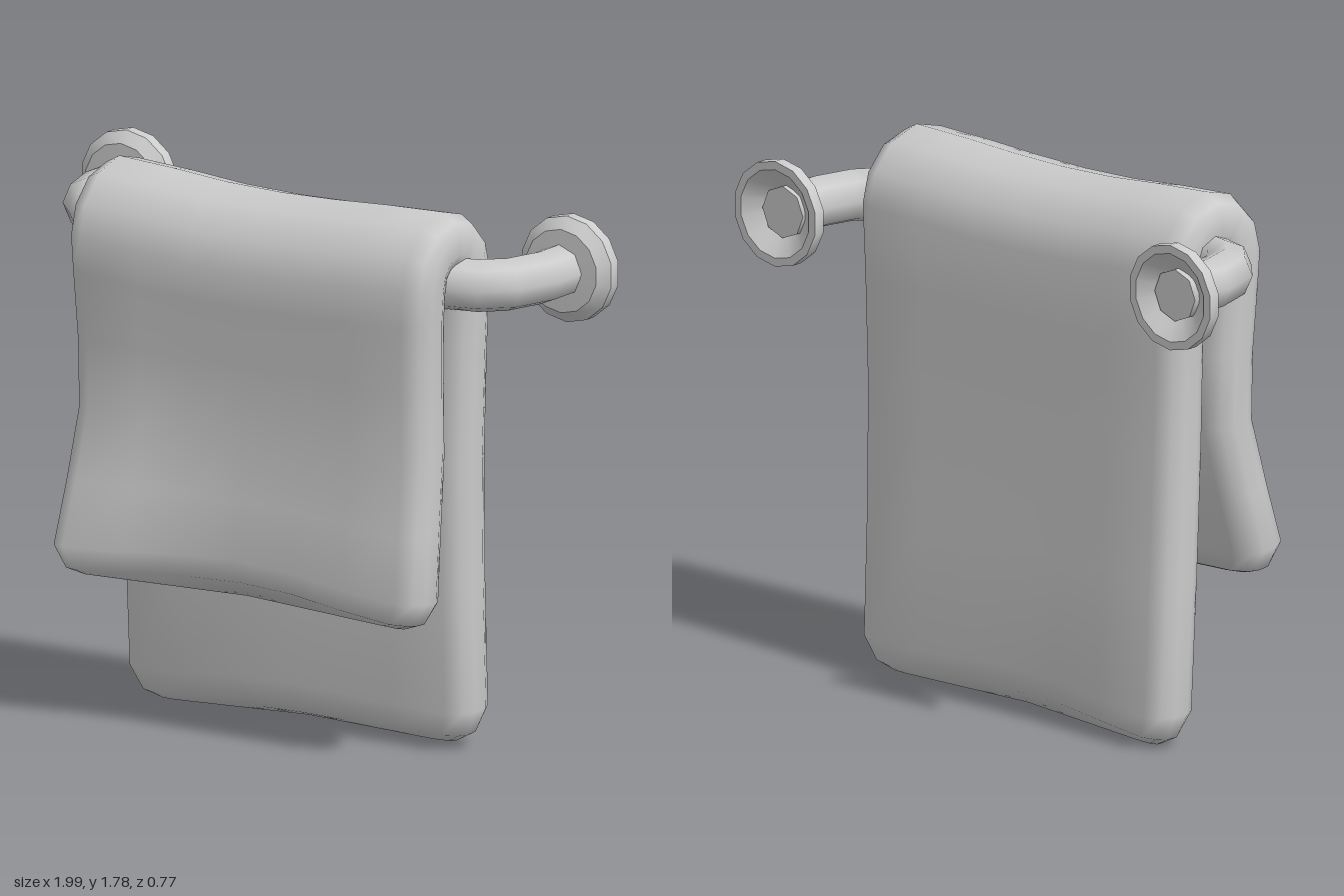
import * as THREE from 'three';
import { toCreasedNormals } from 'three/addons/utils/BufferGeometryUtils.js';

const material = new THREE.MeshStandardMaterial({ color: 0xcccccc });
const doubleSided = new THREE.MeshStandardMaterial({ color: 0xcccccc, side: THREE.DoubleSide });

// Skin a list of equal-length rings (counter-clockwise about the sweep) and cap both ends.
function loft(rings) {
  const n = rings[0].length, last = rings.length - 1;
  const points = rings.flat(), index = [];
  const centre = ring => ring.reduce((s, p) => s.add(p), new THREE.Vector3()).divideScalar(n);
  points.push(centre(rings[0]), centre(rings[last]));
  for (let j = 0; j < n; j++) {
    const k = (j + 1) % n;
    for (let i = 0; i < last; i++) {
      const a = i * n + j, b = i * n + k;
      index.push(a, b, b + n, a, b + n, a + n);
    }
    index.push(points.length - 2, k, j, points.length - 1, last * n + j, last * n + k);
  }
  const geometry = new THREE.BufferGeometry().setFromPoints(points);
  geometry.setIndex(index);
  geometry.computeVertexNormals();
  return geometry;
}

// Thick cloth swept from the front hem, over the bar, down to the back hem.
function towelGeometry() {
  // y, z: centre line; t: half thickness; inset: narrowing at the hems;
  // left/right (-x/+x): [edge x, y shift, z shift] at each side
  const stations = [];
  const add = (y, z, t, inset, left, right) => stations.push({ y, z, t, inset, left, right });
  const hemL = [-0.66, -0.02, 0.085], hemR = [0.675, -0.06, 0];
  add(0.50, 0.205, 0.03, 0.09, hemL, hemR);
  add(0.52, 0.203, 0.07, 0.035, hemL, hemR);
  add(0.59, 0.198, 0.1, 0, hemL, hemR);
  add(0.78, 0.175, 0.1, 0, [-0.65, -0.01, 0.05], [0.67, -0.04, 0]);
  add(1.00, 0.155, 0.1, 0, [-0.645, 0, 0.005], [0.67, -0.02, 0]);
  add(1.22, 0.16, 0.1, 0, [-0.65, 0.01, 0], [0.672, 0, 0]);
  add(1.42, 0.175, 0.1, 0, [-0.658, 0.03, 0], [0.682, 0.015, 0]);
  const topL = [-0.663, 0.035, 0], topR = [0.69, 0.02, 0];
  for (let i = 0; i <= 6; i++) {
    const a = i * Math.PI / 6;
    add(1.515 + 0.13 * Math.sin(a), 0.052 + 0.127 * Math.cos(a), 0.1, 0, topL, topR);
  }
  add(1.30, -0.075, 0.098, 0, [-0.65, 0.01, 0], [0.68, 0.01, 0]);
  add(0.95, -0.07, 0.1, 0, [-0.64, 0, -0.005], [0.672, 0, 0]);
  add(0.55, -0.075, 0.1, 0, [-0.64, -0.02, -0.02], [0.672, -0.01, 0]);
  const backL = [-0.64, -0.04, -0.035], backR = [0.676, -0.02, 0];
  add(0.15, -0.085, 0.1, 0, backL, backR);
  add(0.07, -0.088, 0.07, 0.035, backL, backR);
  add(0.04, -0.09, 0.03, 0.09, backL, backR);

  // Rounded side edge: [inset from the edge, share of the half thickness]
  const edge = [[0.07, 1], [0.02, 0.72], [0, 0.3], [0, -0.3], [0.02, -0.72], [0.07, -1]];
  const columns = [0.17, 0.33, 0.5, 0.67, 0.83];

  return loft(stations.map((s, i) => {
    const p = stations[Math.max(i - 1, 0)], q = stations[Math.min(i + 1, stations.length - 1)];
    const normal = new THREE.Vector2(-(q.z - p.z), q.y - p.y).normalize(); // (y, z)
    const xl = s.left[0] + s.inset, xr = s.right[0] - s.inset;
    const point = (x, f) => {
      const side = x < 0 ? s.left : s.right;
      const w = THREE.MathUtils.smoothstep(Math.abs(x), 0.04, 0.62);
      return new THREE.Vector3(x,
        s.y + normal.x * s.t * f + side[1] * w,
        s.z + normal.y * s.t * f + side[2] * w);
    };
    const across = u => THREE.MathUtils.lerp(xl + 0.07, xr - 0.07, u);
    return [
      ...columns.map(u => point(across(u), 1)),
      ...edge.map(([d, f]) => point(xr - d, f)),
      ...columns.map(u => point(across(1 - u), -1)),
      ...edge.map(([d, f]) => point(xl + d, -f)),
    ];
  }));
}

// Octagonal bar with both ends bent back to the wall, slightly tilted.
const barHeight = x => 1.55 - 0.03 * x;
function barGeometry() {
  const bend = [[0.822, -0.355], [0.822, -0.2], [0.785, -0.07], [0.72, 0.0], [0.6, 0.038]];
  const path = [...bend.map(([x, z]) => [-x, z]), ...bend.reverse()]
    .map(([x, z]) => new THREE.Vector3(x, barHeight(x), z));
  const up = new THREE.Vector3(0, 1, 0), sides = 8, radius = 0.085;
  const geometry = loft(path.map((p, i) => {
    const before = p.clone().sub(path[Math.max(i - 1, 0)]).normalize();
    const after = path[Math.min(i + 1, path.length - 1)].clone().sub(p).normalize();
    const tangent = before.add(after).normalize();
    const out = new THREE.Vector3().crossVectors(up, tangent).normalize();
    return Array.from({ length: sides }, (_, j) => {
      const a = j / sides * Math.PI * 2;
      return p.clone().addScaledVector(out, Math.cos(a) * radius)
        .addScaledVector(up, Math.sin(a) * radius);
    });
  }));
  return toCreasedNormals(geometry, 1.0);
}

// Round wall plate, hollow at the back.
function flangeGeometry() {
  const profile = [[0.075, -0.33], [0.145, -0.385], [0.172, -0.385], [0.172, -0.345],
    [0.135, -0.312], [0.075, -0.31]].map(([r, y]) => new THREE.Vector2(r, y));
  return toCreasedNormals(new THREE.LatheGeometry(profile, 14).rotateX(Math.PI / 2), 0.6);
}

export function createModel() {
  const model = new THREE.Group();
  model.name = 'towelRail';
  const part = (name, geometry, mat = material) => {
    const mesh = new THREE.Mesh(geometry, mat);
    mesh.name = name;
    model.add(mesh);
    return mesh;
  };
  part('towel', towelGeometry());
  part('bar', barGeometry());
  for (const [name, x] of [['leftFlange', 0.828], ['rightFlange', -0.828]]) {
    part(name, flangeGeometry(), doubleSided).position.set(x, barHeight(x), 0);
  }
  return model;
}
